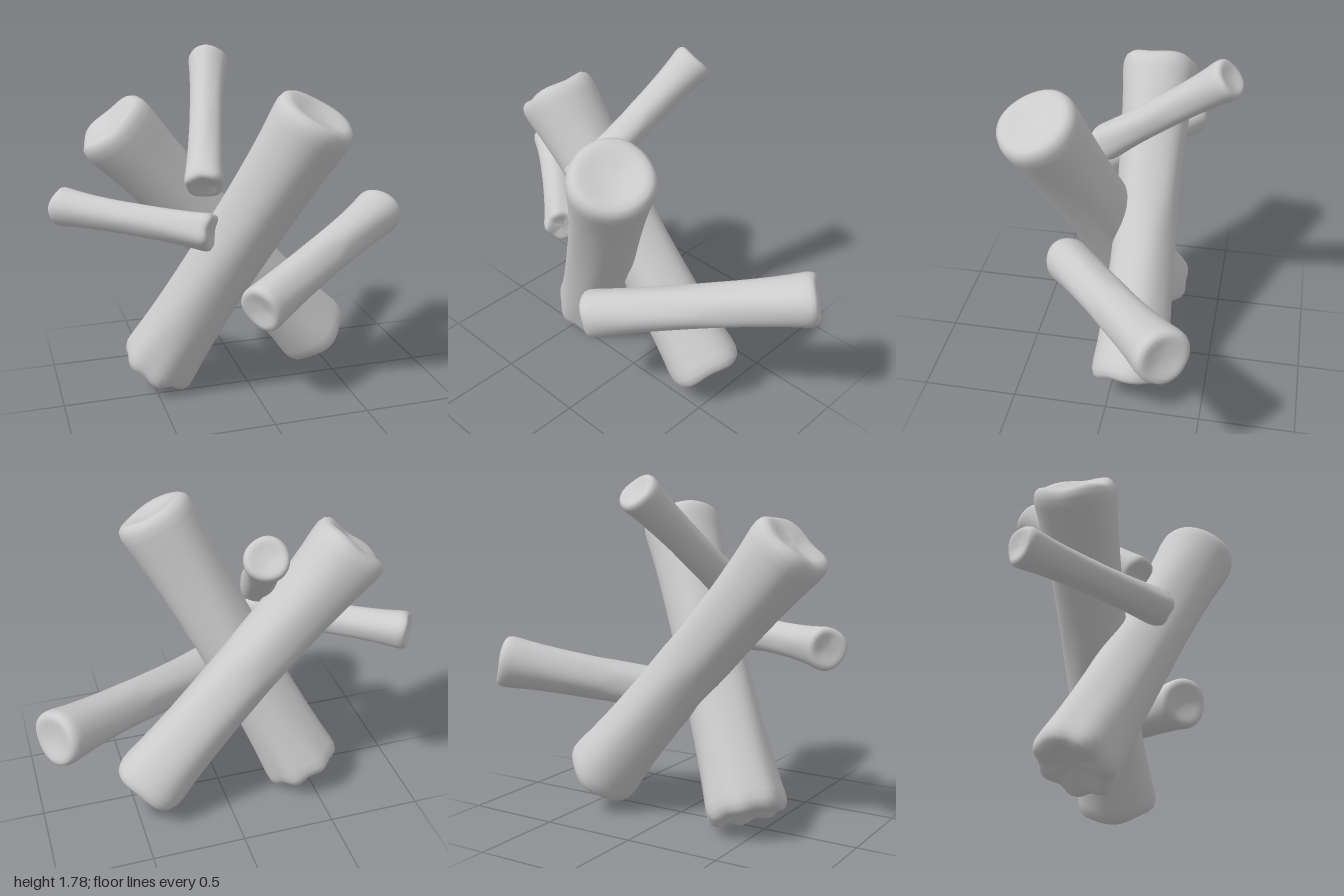
import * as THREE from 'three';
import { mergeVertices } from 'three/addons/utils/BufferGeometryUtils.js';

const material = new THREE.MeshStandardMaterial({ color: 0xcccccc });

// A log from point a to point b: slim waist, flared rounded ends, slightly dished end faces.
// ends: [radius, lobe count, lobe depth, phase] for the a and b ends.
function makeLog(name, a, b, waist, endA, endB) {
  const start = new THREE.Vector3(...a);
  const axis = new THREE.Vector3(...b).sub(start);
  const length = axis.length();

  // Profile of one end: [share of end radius, distance inward in radii]
  const rim = [[0, 0.1], [0.3, 0.09], [0.55, 0.04], [0.72, 0], [0.85, 0.01], [0.95, 0.09], [1, 0.24], [1, 0.45]];
  const points = rim.map(([s, d]) => new THREE.Vector2(s * endA[0], d * endA[0]));
  const from = 0.45 * endA[0], to = length - 0.45 * endB[0];
  for (let i = 1; i < 16; i++) {
    const t = i / 16;
    const flareA = Math.pow(1 - t, 5), flareB = Math.pow(t, 5);
    const r = waist + (endA[0] - waist) * flareA + (endB[0] - waist) * flareB;
    points.push(new THREE.Vector2(r, from + (to - from) * t));
  }
  for (const [s, d] of [...rim].reverse()) points.push(new THREE.Vector2(s * endB[0], length - d * endB[0]));

  let geometry = new THREE.LatheGeometry(points, 48);
  geometry.deleteAttribute('normal');
  geometry.deleteAttribute('uv');
  geometry = mergeVertices(geometry, 1e-5);

  // Lobes at the ends fade into shallow grooves along the trunk
  const pos = geometry.attributes.position;
  for (let i = 0; i < pos.count; i++) {
    const x = pos.getX(i), y = pos.getY(i), z = pos.getZ(i);
    const t = THREE.MathUtils.clamp(y / length, 0, 1);
    const angle = Math.atan2(z, x);
    const [radius, lobes, depth, phase] = t < 0.5 ? endA : endB;
    const near = Math.pow(Math.abs(2 * t - 1), 3);
    const wave = Math.cos(lobes * angle + phase) + 0.4 * Math.cos((lobes - 1) * angle + 2 * phase);
    const groove = 0.02 * Math.cos(5 * angle + 3 * t + phase) * (1 - near);
    const scale = 1 + depth * near * wave + groove;
    const share = Math.min(1, Math.hypot(x, z) / radius);
    const push = (t < 0.5 ? -1 : 1) * depth * radius * wave * share * Math.pow(near, 4);
    pos.setXYZ(i, x * scale, y + push, z * scale);
  }
  geometry.computeVertexNormals();

  const mesh = new THREE.Mesh(geometry, material);
  mesh.name = name;
  mesh.position.copy(start);
  mesh.quaternion.setFromUnitVectors(new THREE.Vector3(0, 1, 0), axis.normalize());
  return mesh;
}

export function createModel() {
  const group = new THREE.Group();
  group.name = 'logPile';
  group.add(
    // Two thick logs crossing in the middle
    makeLog('frontLog', [-0.475, 0.1, -0.135], [0.245, 1.56, 0.385], 0.178, [0.205, 7, 0.04, 0.5], [0.208, 3, 0.02, 1]),
    makeLog('backLog', [0.45, 0.165, -0.125], [-0.69, 1.48, -0.09], 0.165, [0.2, 4, 0.03, 0.6], [0.203, 4, 0.035, 2.4]),
    // Three thinner branches leaning out
    makeLog('leftSideBranch', [-0.035, 0.555, 0.325], [0.925, 0.8, -0.365], 0.114, [0.125, 3, 0.03, 0.4], [0.14, 3, 0.025, 2]),
    makeLog('rightSideBranch', [-0.255, 0.97, 0.26], [-0.945, 1.012, -0.27], 0.08, [0.095, 5, 0.04, 1], [0.1, 3, 0.04, 0.3]),
    makeLog('topBranch', [-0.265, 1.17, 0.145], [-0.07, 1.71, -0.515], 0.083, [0.1, 4, 0.04, 1.5], [0.103, 3, 0.025, 0])
  );
  return group;
}
